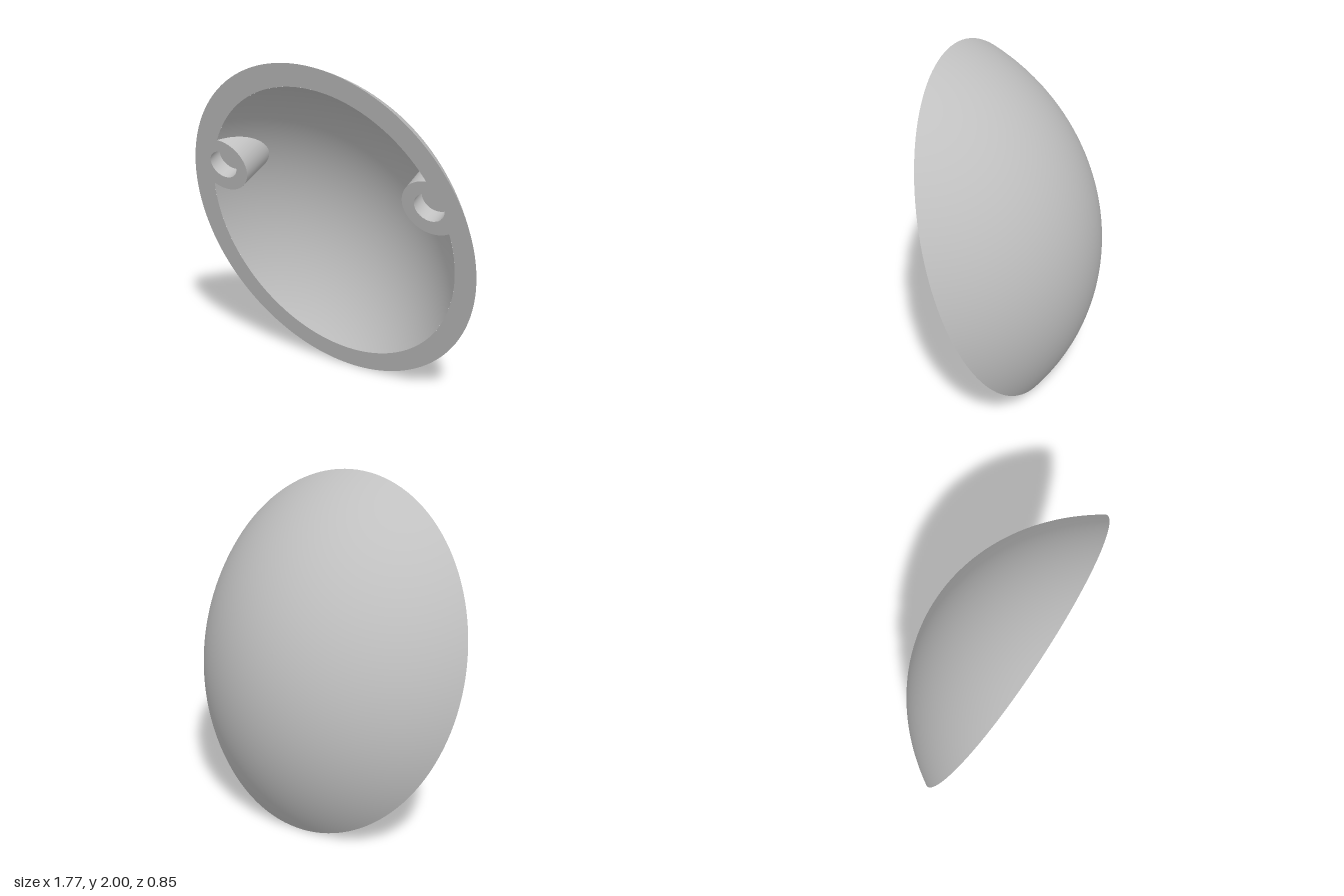
import * as THREE from 'three';

// Local frame: the rim lies in the XY plane, the shell bulges towards -Z.
const OUTER = { w: 0.885, h: 1.043, depth: 0.52 };
const INNER = { w: 0.76, h: 0.905, depth: 0.425 };
const BOSS = { x: 0.66, y: 0.297, r: 0.168 };
const HOLE = { x: 0.65, y: 0.3, r: 0.087, depth: 0.09 };

// Sphere whose cap has the given half height and depth
function capSphere({ h, depth }) {
  const R = (h * h + depth * depth) / (2 * depth);
  return { R, c: R - depth };
}

function capDepth(cap, x, y) {
  const { R, c } = capSphere(cap);
  const rho = Math.hypot((x * cap.h) / cap.w, y);
  return rho < cap.h ? Math.sqrt(R * R - rho * rho) - c : 0;
}

function capGeometry(cap, inward) {
  const { R, c } = capSphere(cap);
  const edge = Math.asin(cap.h / R);
  const points = [];
  for (let i = 0; i <= 40; i++) {
    const a = edge * (1 - i / 40);
    points.push(new THREE.Vector2(R * Math.sin(a), R * Math.cos(a) - c));
  }
  if (inward) points.reverse();
  const g = new THREE.LatheGeometry(points, 128);
  g.rotateX(-Math.PI / 2);
  g.scale(cap.w / cap.h, 1, 1);
  return g;
}

// Drop the cavity faces that lie inside the solid bosses
function cutBosses(g) {
  const p = g.attributes.position;
  const src = g.index.array;
  const kept = [];
  for (let i = 0; i < src.length; i += 3) {
    const t = [src[i], src[i + 1], src[i + 2]];
    const x = t.reduce((s, k) => s + p.getX(k), 0) / 3;
    const y = t.reduce((s, k) => s + p.getY(k), 0) / 3;
    if (Math.hypot(Math.abs(x) - BOSS.x, y - BOSS.y) > 0.125) kept.push(...t);
  }
  g.setIndex(kept);
  return g;
}

// Boss outline inside the opening, running clockwise on the +X side
function bossArc() {
  const arc = [];
  for (let i = 0; i <= 160; i++) {
    const a = Math.PI * (1.9 - (1.8 * i) / 160);
    const x = BOSS.x + BOSS.r * Math.cos(a);
    const y = BOSS.y + BOSS.r * Math.sin(a);
    if (Math.hypot(x / INNER.w, y / INNER.h) < 1) arc.push(new THREE.Vector2(x, y));
  }
  return arc;
}

const mirror = (pts) => pts.map((p) => new THREE.Vector2(-p.x, p.y)).reverse();

// Opening outline: half an ellipse interrupted by the boss, then mirrored
function openingOutline(arc) {
  const half = [];
  let arcDone = false;
  for (let i = 0; i <= 100; i++) {
    const a = -Math.PI / 2 + (Math.PI * i) / 100;
    const x = INNER.w * Math.cos(a);
    const y = INNER.h * Math.sin(a);
    if (Math.hypot(x - BOSS.x, y - BOSS.y) > BOSS.r) half.push(new THREE.Vector2(x, y));
    else if (!arcDone) {
      half.push(...arc);
      arcDone = true;
    }
  }
  return [...half, ...mirror(half).slice(1, -1)];
}

// Side wall of a boss, running from the rim down to the cavity surface
function bossWall(arc) {
  const pos = [];
  const index = [];
  arc.forEach(({ x, y }, i) => {
    pos.push(x, y, 0, x, y, -capDepth(INNER, x, y) - 0.02);
    if (i) {
      const k = 2 * (i - 1);
      index.push(k, k + 2, k + 1, k + 2, k + 3, k + 1);
    }
  });
  const g = new THREE.BufferGeometry();
  g.setAttribute('position', new THREE.Float32BufferAttribute(pos, 3));
  g.setIndex(index);
  g.computeVertexNormals();
  return g;
}

export function createModel() {
  const grey = new THREE.MeshStandardMaterial({ color: 0xc0c0c0 });
  grey.name = 'light grey';
  const model = new THREE.Group();
  model.name = 'domedCover';
  const shell = new THREE.Group();
  shell.name = 'tiltedShell';
  shell.position.set(0, 1, 0.1275);
  shell.rotation.x = Math.atan(0.2975);
  model.add(shell);

  const add = (name, geometry) => {
    const m = new THREE.Mesh(geometry, grey);
    m.name = name;
    shell.add(m);
    return m;
  };

  add('outerShell', capGeometry(OUTER, false));
  add('innerCavity', cutBosses(capGeometry(INNER, true)));

  // Flat rim, joined to the boss faces and pierced by the peg holes
  const arc = bossArc();
  const rim = new THREE.Shape();
  rim.absellipse(0, 0, OUTER.w, OUTER.h, 0, Math.PI * 2, false);
  rim.holes.push(new THREE.Path(openingOutline(arc)));
  for (const s of [1, -1]) {
    const hole = new THREE.Path();
    hole.absarc(s * HOLE.x, HOLE.y, HOLE.r, 0, Math.PI * 2, true);
    rim.holes.push(hole);
  }
  add('rim', new THREE.ShapeGeometry(rim, 64));

  // Bosses with blind holes
  for (const [s, side] of [[1, 'left'], [-1, 'right']]) {
    add(side + 'BossWall', bossWall(s > 0 ? arc : mirror(arc)));
    const wall = new THREE.LatheGeometry(
      [new THREE.Vector2(HOLE.r, 0), new THREE.Vector2(HOLE.r, -HOLE.depth)], 48);
    wall.rotateX(Math.PI / 2);
    add(side + 'HoleWall', wall).position.set(s * HOLE.x, HOLE.y, 0);
    add(side + 'HoleFloor', new THREE.CircleGeometry(HOLE.r, 48))
      .position.set(s * HOLE.x, HOLE.y, -HOLE.depth);
  }
  return model;
}
